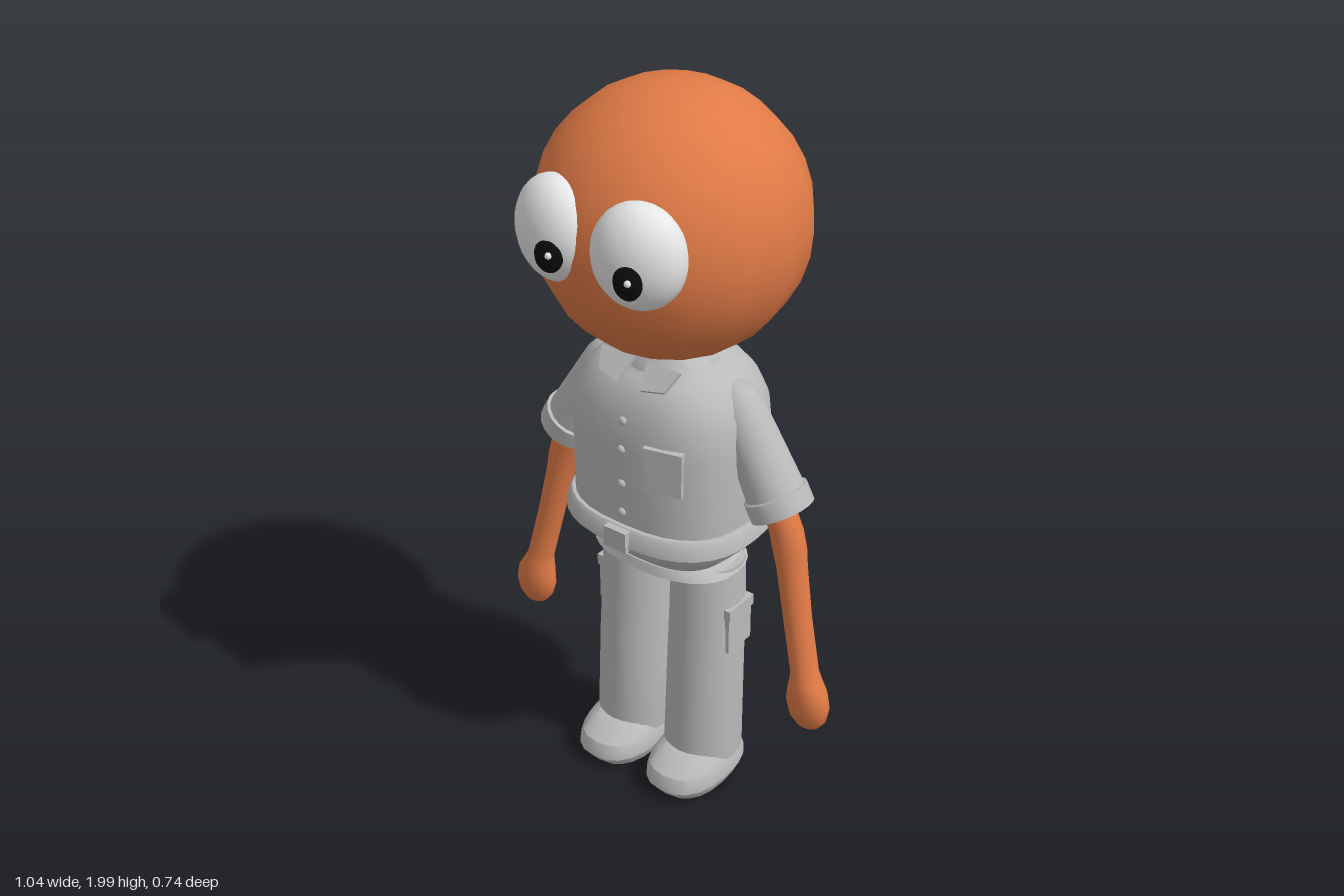
import * as THREE from 'three';
import { toCreasedNormals } from 'three/addons/utils/BufferGeometryUtils.js';

const mat = (name, color, side = THREE.FrontSide) => {
  const m = new THREE.MeshStandardMaterial({ color, side });
  m.name = name;
  return m;
};

// Surface through horizontal superellipse rings, rows [y, rx, rz, cx, cz] from bottom to top
function loft(rows, sides = 24, power = 2, crease = 0.7) {
  const pos = [], index = [];
  const bend = v => Math.sign(v) * Math.pow(Math.abs(v), 2 / power);
  const first = rows[0], last = rows[rows.length - 1];
  const all = [[first[0], 0.0005, 0.0005, first[3], first[4]], ...rows,
    [last[0], 0.0005, 0.0005, last[3], last[4]]];
  all.forEach(([y, rx, rz, cx = 0, cz = 0]) => {
    for (let i = 0; i < sides; i++) {
      const a = (i / sides) * Math.PI * 2;
      pos.push(cx + rx * bend(Math.sin(a)), y, cz + rz * bend(Math.cos(a)));
    }
  });
  for (let r = 0; r < all.length - 1; r++) {
    for (let i = 0; i < sides; i++) {
      const j = (i + 1) % sides;
      const a = r * sides + i, b = r * sides + j, c = b + sides, d = a + sides;
      index.push(a, b, d, b, c, d);
    }
  }
  const g = new THREE.BufferGeometry();
  g.setAttribute('position', new THREE.Float32BufferAttribute(pos, 3));
  g.setIndex(index);
  return toCreasedNormals(g, crease);
}

export function createModel() {
  const root = new THREE.Group();
  const skin = mat('orange skin', 0xe07a46);
  const cloth = mat('grey cloth', 0xbababa);
  const white = mat('eye white', 0xe6e6e6);
  const black = mat('pupil black', 0x0a0a0a);

  const add = (name, geo, material, x = 0, y = 0, z = 0, parent = root) => {
    const m = new THREE.Mesh(geo, material);
    m.name = name;
    m.position.set(x, y, z);
    parent.add(m);
    return m;
  };
  const CZ = -0.027; // depth of the body axis

  // Head
  add('head', new THREE.SphereGeometry(0.345, 16, 16), skin, 0, 1.655, -0.027);

  // Shirt body
  const body = [
    [0.69, 0.12, 0.09], [0.73, 0.175, 0.135], [0.78, 0.225, 0.18], [0.82, 0.245, 0.205],
    [0.88, 0.247, 0.206], [1.1, 0.25, 0.207], [1.18, 0.243, 0.199], [1.24, 0.215, 0.178],
    [1.28, 0.175, 0.15], [1.3, 0.135, 0.12], [1.33, 0.115, 0.105],
  ].map(([y, rx, rz]) => [y, rx, rz, 0, CZ]);
  add('shirt', loft(body, 32, 2.6, 1), cloth);

  // Collar band and its two pointed flaps
  add('collarBand', loft([[1.265, 0.155, 0.14, 0, CZ], [1.28, 0.15, 0.14, 0, CZ],
    [1.325, 0.12, 0.115, 0, CZ]], 24), cloth);
  for (const s of [-1, 1]) {
    const flap = new THREE.Shape([[0.02, 0.04], [0.035, -0.035], [0.1, -0.02], [0.12, 0.04]]
      .map(([x, y]) => new THREE.Vector2(s * x, y)));
    const f = add('collarFlap', new THREE.ExtrudeGeometry(flap, { depth: 0.012, bevelEnabled: false }),
      cloth, 0, 1.285, 0.118);
    f.rotation.x = -0.75;
  }

  // Belt, buckle, buttons
  add('belt', loft([[0.82, 0.262, 0.224, 0, CZ], [0.828, 0.268, 0.23, 0, CZ],
    [0.868, 0.262, 0.224, 0, CZ], [0.878, 0.255, 0.216, 0, CZ]], 32, 2.6), cloth);
  add('buckle', new THREE.BoxGeometry(0.07, 0.058, 0.02), cloth, 0, 0.848, 0.203);
  for (const y of [0.915, 1.0, 1.1, 1.18]) {
    add('button', new THREE.SphereGeometry(0.012, 10, 8), cloth, 0, y, y > 1.15 ? 0.174 : 0.181)
      .scale.z = 0.7;
  }

  // Chest pocket with flap
  const pocket = new THREE.Group();
  pocket.name = 'chestPocket';
  pocket.position.set(0.12, 1.07, 0.165);
  pocket.rotation.y = 0.24;
  root.add(pocket);
  add('pocketBody', new THREE.BoxGeometry(0.1, 0.12, 0.014), cloth, 0, 0, 0, pocket);
  add('pocketFlap', new THREE.BoxGeometry(0.104, 0.03, 0.022), cloth, 0, 0.05, 0, pocket);

  // Trouser seat
  add('trouserSeat', loft([[0.69, 0.19, 0.125, 0, -0.03], [0.705, 0.215, 0.145, 0, -0.025],
    [0.73, 0.18, 0.14, 0, CZ]], 28, 2.4), cloth);

  // Sleeve profile, from inside the cuff round to the shoulder
  const sleeve = [[0, 0.07], [0.066, 0.06], [0.072, 0], [0.085, 0], [0.085, 0.05], [0.077, 0.053],
    [0.068, 0.2], [0.063, 0.28], [0.05, 0.325], [0.027, 0.35], [0, 0.358]]
    .map(([x, y]) => new THREE.Vector2(x, y));

  for (const s of [-1, 1]) {
    const side = s > 0 ? 'left' : 'right';

    // Arm with sleeve and rounded hand
    const sl = add(side + 'Sleeve', toCreasedNormals(new THREE.LatheGeometry(sleeve, 20), 0.7),
      cloth, s * 0.342, 0.945, -0.033);
    sl.rotation.z = s * 0.5;
    const arm = [
      [0.33, 0.01, 0.008, 0.464, -0.005], [0.34, 0.034, 0.024, 0.463, -0.005],
      [0.365, 0.053, 0.037, 0.462, -0.005], [0.405, 0.062, 0.044, 0.46, -0.005],
      [0.445, 0.056, 0.044, 0.457, -0.006], [0.48, 0.042, 0.04, 0.449, -0.008],
      [0.5, 0.038, 0.037, 0.443, -0.01], [0.65, 0.038, 0.037, 0.408, -0.02],
      [0.79, 0.041, 0.04, 0.378, -0.031], [0.84, 0.046, 0.042, 0.367, -0.034],
      [0.89, 0.046, 0.042, 0.354, -0.035], [1.02, 0.044, 0.04, 0.3, -0.033],
    ].map(([y, rx, rz, x, z]) => [y, rx, rz, s * x, z]);
    add(side + 'ArmAndHand', loft(arm, 16, 2, 1), skin);

    // Trouser leg
    const leg = [
      [0.095, 0.105, 0.11, 0.115, -0.02], [0.11, 0.106, 0.111, 0.115, -0.02],
      [0.4, 0.103, 0.105, 0.115, -0.028], [0.55, 0.101, 0.103, 0.114, -0.035],
      [0.72, 0.098, 0.102, 0.112, -0.038],
    ].map(([y, rx, rz, x, z]) => [y, rx, rz, s * x, z]);
    add(side + 'TrouserLeg', loft(leg, 24), cloth);

    // Cargo pocket on the outer thigh
    add(side + 'CargoPocket', new THREE.BoxGeometry(0.026, 0.13, 0.1), cloth, s * 0.203, 0.525, -0.04);
    add(side + 'CargoFlap', new THREE.BoxGeometry(0.034, 0.032, 0.106), cloth, s * 0.204, 0.582, -0.04);

    // Shoe: sole and upper
    const shoe = (rows) => loft(rows.map(([y, rx, rz, z]) => [y, rx, rz, s * 0.117, z]), 20, 2.4, 0.6);
    add(side + 'Sole', shoe([[0.008, 0.088, 0.132, 0.008], [0.022, 0.095, 0.142, 0.012],
      [0.048, 0.106, 0.155, 0.016]]), cloth);
    add(side + 'ShoeUpper', shoe([[0.048, 0.108, 0.158, 0.017], [0.062, 0.108, 0.156, 0.017],
      [0.09, 0.102, 0.145, 0.017], [0.11, 0.094, 0.122, 0.005], [0.13, 0.08, 0.1, -0.01]]), cloth);

    // Bulging eye with pupil and glint
    const eye = add(side + 'Eye', new THREE.SphereGeometry(1, 24, 18), white, s * 0.122, 1.7, 0.257);
    eye.scale.set(0.118, 0.132, 0.084);
    eye.rotation.y = s * 0.25;
    const px = s > 0 ? 0.148 : -0.081;
    const pupil = add(side + 'Pupil', new THREE.SphereGeometry(1, 16, 12), black, px, 1.67, 0.334);
    pupil.scale.set(0.038, 0.042, 0.026);
    add(side + 'Glint', new THREE.SphereGeometry(0.009, 8, 6), white, px + 0.016, 1.682, 0.354);
  }
  return root;
}
